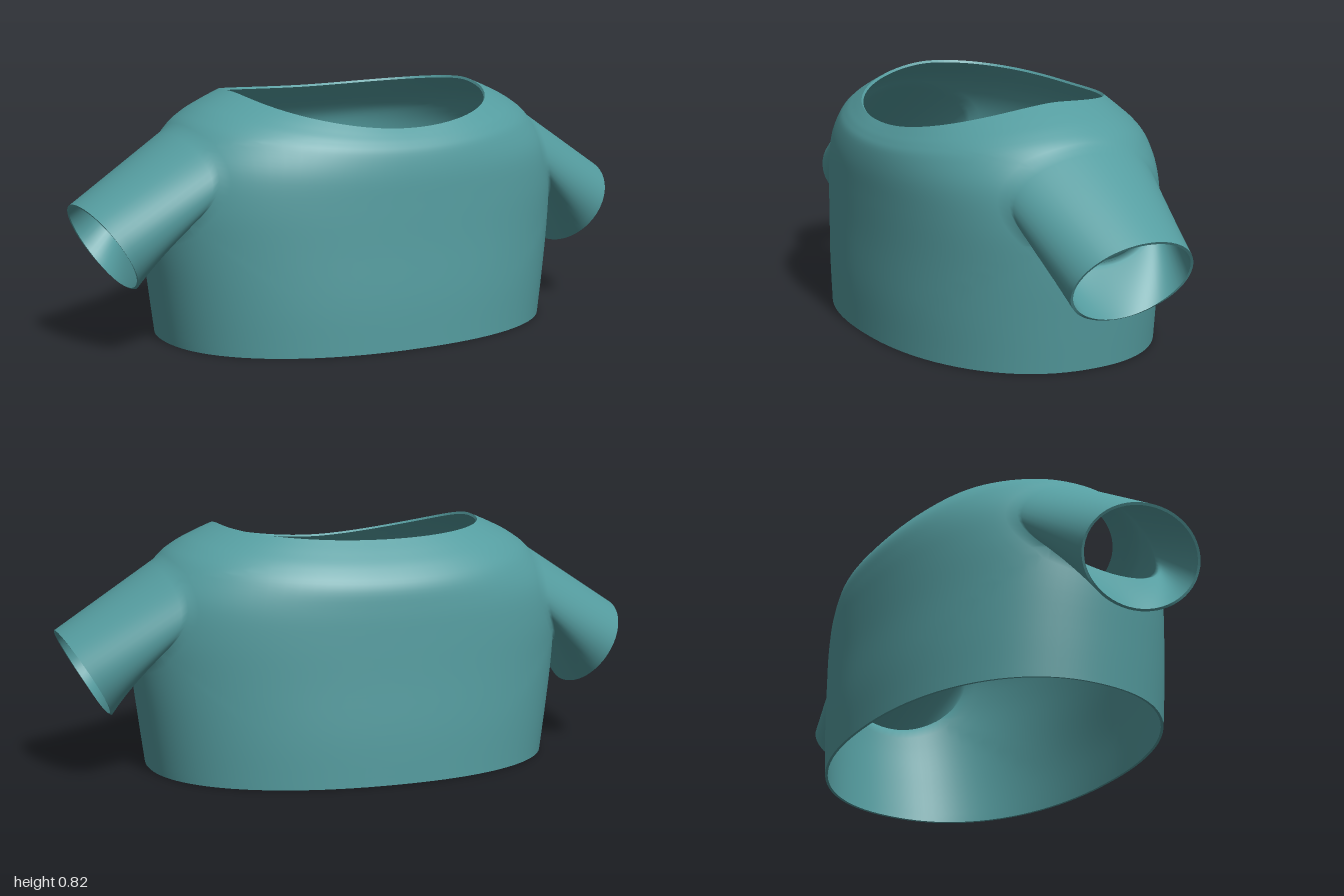
import * as THREE from 'three';

const COLS = 96, ROWS = 40;            // torso grid
const HOLE_ROW = 18, HW = 9, HH = 7;   // armhole centre row and half size in grid cells
const SLEEVE_RINGS = 14, THICK = 0.009;

// Torso sections, hem to neck: half width, front depth, back depth, y at side / front / back, roundness
const SECTIONS = [
  [0.70, 0.485, 0.485, 0.00, 0.00, 0.00, 2.2],
  [0.722, 0.485, 0.485, 0.16, 0.16, 0.16, 2.2],
  [0.743, 0.478, 0.478, 0.33, 0.33, 0.33, 2.2],
  [0.748, 0.474, 0.474, 0.48, 0.47, 0.47, 2.2],
  [0.72, 0.47, 0.47, 0.61, 0.57, 0.57, 2.2],
  [0.65, 0.458, 0.46, 0.71, 0.64, 0.645, 2.2],
  [0.59, 0.44, 0.425, 0.758, 0.672, 0.70, 2.25],
  [0.525, 0.42, 0.38, 0.792, 0.695, 0.745, 2.3],
  [0.455, 0.40, 0.335, 0.822, 0.715, 0.785, 2.4],
];

// Catmull-Rom blend of the section values at v in 0..1
function section(v) {
  const n = SECTIONS.length - 1;
  const f = Math.min(Math.max(v, 0), 1) * n;
  const i = Math.min(Math.floor(f), n - 1), t = f - i;
  const at = (k, c) => {
    if (k < 0) return 2 * SECTIONS[0][c] - SECTIONS[1][c];
    if (k > n) return 2 * SECTIONS[n][c] - SECTIONS[n - 1][c];
    return SECTIONS[k][c];
  };
  return SECTIONS[0].map((_, c) => {
    const a = at(i - 1, c), b = at(i, c), d = at(i + 1, c), e = at(i + 2, c);
    return b + 0.5 * t * (d - a + t * (2 * a - 5 * b + 4 * d - e + t * (3 * (b - d) + e - a)));
  });
}

function torsoPoint(col, row) {
  const a = col / COLS * Math.PI * 2;
  const [w, front, back, ySide, yFront, yBack, n] = section(row / ROWS);
  const c = Math.cos(a), s = Math.sin(a);
  const r = Math.pow(Math.abs(c) ** n + Math.abs(s) ** n, -1 / n);
  const y = ySide + ((s > 0 ? yFront : yBack) - ySide) * Math.abs(s) ** 1.7;
  return [w * r * c, y, (s > 0 ? front : back) * r * s];
}

// Bends the grid around each armhole so its square gap becomes an ellipse
function warp(col, row) {
  const centre = col > COLS / 4 && col < COLS * 3 / 4 ? COLS / 2 : (col >= COLS * 3 / 4 ? COLS : 0);
  const p = (col - centre) / HW, q = (row - HOLE_ROW) / HH;
  const t = Math.max(Math.abs(p), Math.abs(q));
  if (t >= 2 || t < 1) return [col, row];
  const len = Math.hypot(p, q) / t;
  const k = THREE.MathUtils.lerp(1 / len, 1, THREE.MathUtils.smoothstep(t, 1, 2));
  return [centre + p * k * HW, HOLE_ROW + q * k * HH];
}

function makeShell() {
  const pos = [], index = [];
  const id = (i, j) => j * COLS + (i + COLS) % COLS;
  const quad = (a, b, c, d) => index.push(a, b, c, a, c, d);

  // Torso with two armholes
  for (let j = 0; j <= ROWS; j++)
    for (let i = 0; i < COLS; i++) pos.push(...torsoPoint(...warp(i, j)));
  for (let j = 0; j < ROWS; j++)
    for (let i = 0; i < COLS; i++) {
      const half = COLS / 2;
      const dc = Math.abs(((i + 0.5 + half / 2) % half) - half / 2);
      if (dc < HW && Math.abs(j + 0.5 - HOLE_ROW) < HH) continue;
      quad(id(i, j), id(i, j + 1), id(i + 1, j + 1), id(i + 1, j));
    }

  // Sleeves, grown from the armhole edge to a tilted oval cuff
  for (const s of [1, -1]) {
    const centre = s > 0 ? 0 : COLS / 2;
    const edge = [];
    for (let k = -HH; k < HH; k++) edge.push([HW, k]);
    for (let k = HW; k > -HW; k--) edge.push([k, HH]);
    for (let k = HH; k > -HH; k--) edge.push([-HW, k]);
    for (let k = -HW; k < HW; k++) edge.push([k, -HH]);
    let ring = edge.map(([p, q]) => id(centre + p, HOLE_ROW + q));
    const root = ring.map((v) => pos.slice(v * 3, v * 3 + 3));
    for (let k = 1; k <= SLEEVE_RINGS; k++) {
      const t = k / SLEEVE_RINGS;
      const next = edge.map(([p, q], m) => {
        const a = Math.atan2(q / HH, p / HW), up = Math.sin(a);
        const cuff = [s * (0.917 + 0.083 * up), 0.343 + 0.142 * up, s * 0.215 * Math.cos(a)];
        pos.push(...root[m].map((r, c) => THREE.MathUtils.lerp(r, cuff[c], t)));
        return pos.length / 3 - 1;
      });
      ring.forEach((v, m) => {
        const n = (m + 1) % ring.length;
        quad(v, next[m], next[n], ring[n]);
      });
      ring = next;
    }
  }
  return makeGeometry(pos, index);
}

function makeGeometry(pos, index) {
  const g = new THREE.BufferGeometry();
  g.setAttribute('position', new THREE.Float32BufferAttribute(pos, 3));
  g.setIndex(index);
  g.computeVertexNormals();
  return g;
}

// Inside surface: the shell pushed inwards and turned over
function makeLining(shell) {
  const p = shell.attributes.position.array, n = shell.attributes.normal.array;
  const idx = shell.index.array, flipped = [];
  for (let i = 0; i < idx.length; i += 3) flipped.push(idx[i], idx[i + 2], idx[i + 1]);
  return makeGeometry(Array.from(p, (v, i) => v - n[i] * THICK), flipped);
}

// Narrow band joining shell and lining along every open edge
function makeTrim(shell, lining) {
  const idx = shell.index.array, edges = new Set(), pos = [], index = [];
  const each = (fn) => {
    for (let i = 0; i < idx.length; i += 3)
      for (let k = 0; k < 3; k++) fn(idx[i + k], idx[i + (k + 1) % 3]);
  };
  const point = (g, v) => g.attributes.position.array.slice(v * 3, v * 3 + 3);
  each((a, b) => edges.add(a + '_' + b));
  each((a, b) => {
    if (edges.has(b + '_' + a)) return;
    const o = pos.length / 3;
    pos.push(...point(shell, a), ...point(shell, b), ...point(lining, b), ...point(lining, a));
    index.push(o, o + 2, o + 1, o, o + 3, o + 2);
  });
  return makeGeometry(pos, index);
}

export function createModel() {
  const group = new THREE.Group();
  group.name = 'croppedShirt';
  const cloth = new THREE.MeshStandardMaterial({ color: 0x559da0, side: THREE.DoubleSide });
  const shell = makeShell(), lining = makeLining(shell);
  const parts = { torsoAndSleeves: shell, lining, edgeTrim: makeTrim(shell, lining) };
  for (const [name, geometry] of Object.entries(parts)) {
    const mesh = new THREE.Mesh(geometry, cloth);
    mesh.name = name;
    group.add(mesh);
  }
  return group;
}
